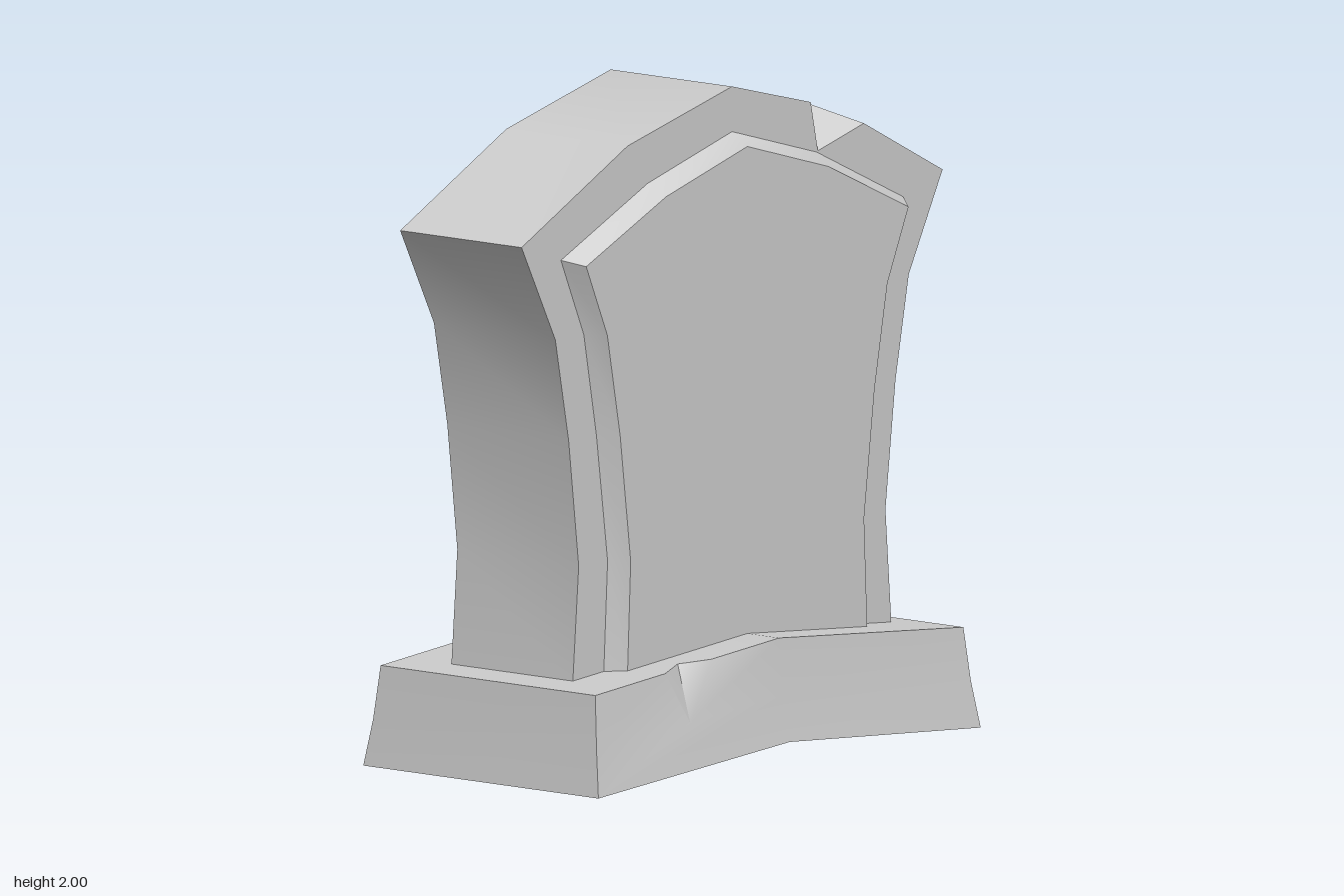
import * as THREE from 'three';
import { toCreasedNormals } from 'three/addons/utils/BufferGeometryUtils.js';

const V = (x, y, z) => new THREE.Vector3(x, y, z);
const material = new THREE.MeshStandardMaterial({ color: 0xcccccc });

// Right half of each outline as [z, y], from the peak down to the foot
const SLAB = [[0, 2], [0.47, 1.88], [0.947, 1.635], [0.795, 1.34], [0.735, 1.03], [0.69, 0.65], [0.717, 0.3]];
const OUTER = [[0, 1.865], [0.38, 1.757], [0.77, 1.575], [0.667, 1.34], [0.61, 1.03], [0.56, 0.65], [0.578, 0.3]];
const INNER = [[0, 1.827], [0.365, 1.722], [0.725, 1.557], [0.63, 1.34], [0.572, 1.03], [0.525, 0.65], [0.54, 0.3]];

// Full closed loop at a given x, mirrored in z; the foot height can be replaced
function loop(half, x, foot = 0.3) {
  const side = half.map(([z, y], i) => [z, i === half.length - 1 ? foot : y]);
  const mirrored = side.slice(1).reverse().map(([z, y]) => [-z, y]);
  return [...side, ...mirrored].map(([z, y]) => V(x, y, z));
}

// Collects polygons, turning each one away from a reference point
function builder() {
  const positions = [];
  function face(points, ref, hole = []) {
    const n = V(0, 0, 0), centre = V(0, 0, 0);
    points.forEach((p, i) => {
      const q = points[(i + 1) % points.length];
      n.add(V((p.y - q.y) * (p.z + q.z), (p.z - q.z) * (p.x + q.x), (p.x - q.x) * (p.y + q.y)));
      centre.addScaledVector(p, 1 / points.length);
    });
    if (n.dot(centre.sub(ref)) < 0) n.negate();
    const ax = Math.abs(n.x), ay = Math.abs(n.y), az = Math.abs(n.z);
    const flat = (p) => ax >= ay && ax >= az ? new THREE.Vector2(p.y, p.z)
      : ay >= az ? new THREE.Vector2(p.z, p.x) : new THREE.Vector2(p.x, p.y);
    const all = [...points, ...hole];
    const holes = hole.length ? [hole.map(flat)] : [];
    for (const [a, b, c] of THREE.ShapeUtils.triangulateShape(points.map(flat), holes)) {
      const t = [all[a], all[b], all[c]];
      const tn = t[1].clone().sub(t[0]).cross(t[2].clone().sub(t[0]));
      if (tn.dot(n) < 0) t.reverse();
      t.forEach((p) => positions.push(p.x, p.y, p.z));
    }
  }
  function band(a, b, ref, skip = []) {
    a.forEach((p, i) => {
      const j = (i + 1) % a.length;
      if (!skip.includes(i)) face([p, a[j], b[j], b[i]], ref);
    });
  }
  function mesh(name) {
    const g = new THREE.BufferGeometry();
    g.setAttribute('position', new THREE.Float32BufferAttribute(positions, 3));
    const m = new THREE.Mesh(toCreasedNormals(g, 0.6), material);
    m.name = name;
    return m;
  }
  return { face, band, mesh };
}

function headstone() {
  const { face, band, mesh } = builder();
  const ref = V(0, 1, 0);
  const left = loop(SLAB, 0.235), right = loop(SLAB, -0.24);
  const n = left.length;

  // Chip in the upper edge, reaching inward along the roof fold
  const peak = left[0], fold = left[n - 1], shoulder = left[n - 2];
  const chipA = peak.clone().lerp(fold, 0.753);
  const chipB = fold.clone().lerp(shoulder, 0.258);
  const chipTip = V(0.235, 1.76, -0.386);
  const chipIn = V(0.12, fold.y, fold.z);
  face([chipA, chipTip, chipIn], ref);
  face([chipB, chipTip, chipIn], ref);

  // Edge all round, with the two roof pieces beside the chip cut to fit
  band(left, right, ref, [n - 1, n - 2]);
  face([right[0], peak, chipA, chipIn, right[n - 1]], ref);
  face([right[n - 1], chipIn, chipB, shoulder, right[n - 2]], ref);
  face([...left.slice(0, n - 1), chipB, chipTip, chipA], ref);

  // Recessed panel on the other side
  const inside = V(5, 1, 0);
  const rim = loop(OUTER, -0.24, 0.42), floor = loop(INNER, -0.18, 0.45);
  face(right, inside, rim);
  band(rim, floor, inside);
  face(floor, inside);
  return mesh('headstone');
}

function raisedPanel() {
  const { face, band, mesh } = builder();
  const ref = V(0, 1, 0);
  const back = loop(OUTER, 0.235), front = loop(INNER, 0.295);
  band(back, front, ref);
  face(front, ref);
  return mesh('raisedPanel');
}

function plinth() {
  const { face, band, mesh } = builder();
  const ref = V(0, 0.16, 0);
  // Rings of half width, half length, height at the ends and in the middle
  const [bottom, middle, top] = [
    [0.46, 0.86, 0, 0.063], [0.437, 0.842, 0.14, 0.2], [0.42, 0.828, 0.3, 0.37],
  ].map(([w, l, end, mid]) => [
    V(w, mid, 0), V(w, end, l), V(-w, end, l), V(-w, mid, 0), V(-w, end, -l), V(w, end, -l),
  ]);

  // Chip in the upper edge of the long side
  const tip = middle[0].clone().lerp(middle[1], 0.5);
  const a = top[0].clone().lerp(top[1], 0.37);
  const b = top[0].clone().lerp(top[1], 0.62);
  const inner = top[0].clone().lerp(top[1], 0.483).setX(0.37);
  face([a, tip, inner], ref);
  face([b, tip, inner], ref);

  band(bottom, middle, ref, [0]);
  face([bottom[0], bottom[1], middle[1], tip, middle[0]], ref);
  band(middle, top, ref, [0]);
  face([middle[0], tip, a, top[0]], ref);
  face([tip, middle[1], top[1], b], ref);

  // Gabled top and hollowed underside
  face([top[0], a, inner, b, top[1], top[2], top[3]], ref);
  face([top[3], top[4], top[5], top[0]], ref);
  face(bottom.slice(0, 4), V(0, 5, 0));
  face([bottom[3], bottom[4], bottom[5], bottom[0]], V(0, 5, 0));
  return mesh('plinth');
}

export function createModel() {
  const group = new THREE.Group();
  group.name = 'gravestone';
  group.add(headstone(), raisedPanel(), plinth());
  return group;
}
